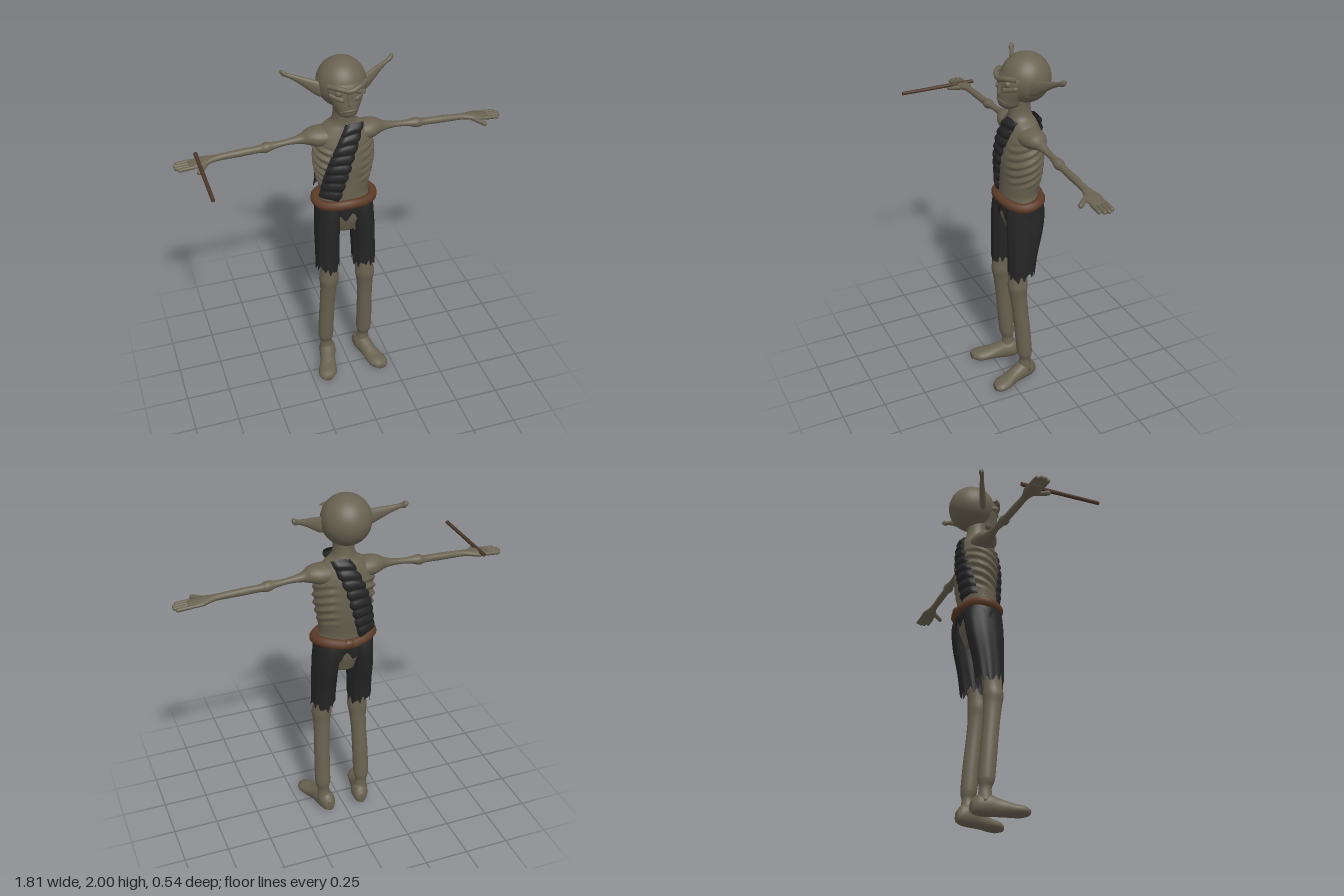
import * as THREE from 'three';

const mat = (name, color, side = THREE.FrontSide) => {
  const m = new THREE.MeshStandardMaterial({ color, side });
  m.name = name;
  return m;
};

export function createModel() {
  const skin = mat('olive skin', 0x696251);
  const cloth = mat('black cloth', 0x252525, THREE.DoubleSide);
  const rope = mat('brown rope', 0x5c3b27);
  const wood = mat('dark wood', 0x4b372a);
  const root = new THREE.Group();
  root.name = 'figure';

  const add = (name, geo, material) => {
    const m = new THREE.Mesh(geo, material);
    m.name = name;
    root.add(m);
    return m;
  };

  // Smooth skin through elliptical sections [x, y, z, r1, r2] lying across one axis.
  const frames = { x: ['y', 'z'], y: ['z', 'x'], z: ['x', 'y'] };
  function loft(axis, rows, { steps = 32, sides = 28, open = false, deform } = {}) {
    const k = 'xyz'.indexOf(axis);
    if (rows[rows.length - 1][k] < rows[0][k]) rows = [...rows].reverse();
    const curve = pts => new THREE.CatmullRomCurve3(pts, false, 'catmullrom', 0.5);
    const path = curve(rows.map(r => new THREE.Vector3(r[0], r[1], r[2])));
    const size = curve(rows.map(r => new THREE.Vector3(r[3], r[4], 0)));
    const [e1, e2] = frames[axis];
    const ts = [];
    for (let i = 0; i <= steps; i++) ts.push([i / steps, 1]);
    if (!open) { ts.unshift([0, 0]); ts.push([1, 0]); }
    const pos = [], index = [];
    ts.forEach(([t, scale], i) => {
      const c = path.getPoint(t), r = size.getPoint(t);
      for (let j = 0; j < sides; j++) {
        const a = j / sides * Math.PI * 2, p = c.clone();
        p[e1] += Math.cos(a) * r.x * scale;
        p[e2] += Math.sin(a) * r.y * scale;
        if (deform) deform(p, c, a, t);
        pos.push(p.x, p.y, p.z);
        if (i < ts.length - 1) {
          const n = (j + 1) % sides, A = i * sides + j, B = i * sides + n;
          index.push(A, B, A + sides, B, B + sides, A + sides);
        }
      }
    });
    const g = new THREE.BufferGeometry();
    g.setAttribute('position', new THREE.Float32BufferAttribute(pos, 3));
    g.setIndex(index);
    g.computeVertexNormals();
    return g;
  }

  // Rounded bar between two points.
  function bar(name, a, b, r, material = skin) {
    const A = new THREE.Vector3(...a), B = new THREE.Vector3(...b), d = B.clone().sub(A);
    const m = add(name, new THREE.CapsuleGeometry(r, d.length(), 6, 14), material);
    m.position.copy(A).add(B).multiplyScalar(0.5);
    m.quaternion.setFromUnitVectors(new THREE.Vector3(0, 1, 0), d.normalize());
  }
  const ball = (name, x, y, z, rx, ry = rx, rz = rx, material = skin) => {
    const m = add(name, new THREE.SphereGeometry(1, 32, 24), material);
    m.position.set(x, y, z);
    m.scale.set(rx, ry, rz);
  };
  const tube = (name, pts, r, material = skin, closed = false) => add(name, new THREE.TubeGeometry(
    new THREE.CatmullRomCurve3(pts.map(p => new THREE.Vector3(...p)), closed), closed ? 80 : 28, r, 10, closed), material);

  // Torso and neck, with rib ridges along the flanks
  add('torso', loft('y', [
    [0, 0.98, -0.095, 0.06, 0.07], [0, 1.08, -0.095, 0.095, 0.13], [0, 1.18, -0.098, 0.1, 0.14],
    [0, 1.23, -0.1, 0.102, 0.135], [0, 1.32, -0.105, 0.11, 0.15], [0, 1.42, -0.105, 0.116, 0.165],
    [0, 1.52, -0.108, 0.11, 0.162], [0, 1.58, -0.11, 0.095, 0.15], [0, 1.625, -0.11, 0.08, 0.115],
    [0, 1.66, -0.105, 0.066, 0.068], [0, 1.71, -0.1, 0.06, 0.055], [0, 1.78, -0.1, 0.06, 0.058],
  ], {
    steps: 130, sides: 48, deform: (p, c, a) => {
      const fade = THREE.MathUtils.smoothstep(p.y, 1.27, 1.32) * (1 - THREE.MathUtils.smoothstep(p.y, 1.51, 1.56));
      const flank = THREE.MathUtils.smoothstep(Math.abs(Math.sin(a)), 0.3, 0.65);
      const rib = 1 + 0.045 * fade * flank * Math.sin((p.y + 0.05 * Math.cos(a)) * Math.PI * 2 / 0.048);
      p.x *= rib;
      p.z = c.z + (p.z - c.z) * rib;
    },
  }), skin);

  // Head and face
  ball('skull', 0, 1.866, -0.136, 0.132, 0.134, 0.134);
  add('jaw', loft('y', [
    [0, 1.715, -0.045, 0.035, 0.03], [0, 1.735, -0.042, 0.056, 0.055], [0, 1.77, -0.045, 0.065, 0.068],
    [0, 1.82, -0.058, 0.074, 0.09], [0, 1.88, -0.08, 0.085, 0.108], [0, 1.93, -0.1, 0.075, 0.095],
  ]), skin);
  tube('brow', [[-0.1, 1.9, -0.035], [-0.055, 1.897, 0.008], [0, 1.882, 0.02], [0.055, 1.897, 0.008], [0.1, 1.9, -0.035]], 0.014);
  bar('nose', [0, 1.87, 0.005], [0, 1.805, 0.016], 0.013);
  tube('lips', [[-0.045, 1.757, -0.005], [-0.02, 1.767, 0.015], [0.02, 1.767, 0.015], [0.045, 1.757, -0.005]], 0.007);

  for (const s of [1, -1]) {
    const side = s > 0 ? 'left' : 'right';
    const mirror = rows => rows.map(r => [r[0] * s, ...r.slice(1)]);
    const P = (x, y, z) => [x * s, y, z];

    ball(side + 'Eye', 0.054 * s, 1.866, -0.006, 0.019);
    bar(side + 'Cheekbone', P(0.04, 1.83, 0.002), P(0.085, 1.845, -0.035), 0.015);
    add(side + 'Ear', loft('x', mirror([
      [0.08, 1.842, -0.1, 0.04, 0.022], [0.13, 1.85, -0.12, 0.043, 0.021], [0.18, 1.874, -0.143, 0.032, 0.018],
      [0.23, 1.898, -0.167, 0.019, 0.014], [0.27, 1.915, -0.185, 0.013, 0.012], [0.29, 1.924, -0.195, 0.018, 0.016],
      [0.304, 1.93, -0.2, 0.01, 0.01],
    ])), skin);

    // Shoulder, arm and palm
    add(side + 'Arm', loft('x', mirror([
      [0.05, 1.575, -0.11, 0.05, 0.07], [0.14, 1.575, -0.112, 0.053, 0.07], [0.19, 1.578, -0.113, 0.042, 0.053],
      [0.23, 1.572, -0.114, 0.026, 0.03], [0.3, 1.566, -0.115, 0.016, 0.018], [0.37, 1.56, -0.115, 0.018, 0.02],
      [0.42, 1.555, -0.115, 0.028, 0.029], [0.46, 1.552, -0.115, 0.02, 0.02], [0.56, 1.549, -0.114, 0.02, 0.02],
      [0.67, 1.545, -0.113, 0.017, 0.019], [0.72, 1.541, -0.113, 0.017, 0.03], [0.76, 1.536, -0.112, 0.018, 0.044],
      [0.8, 1.532, -0.112, 0.015, 0.042], [0.83, 1.53, -0.112, 0.011, 0.038],
    ]), { steps: 70 }), skin);
    for (let i = 0; i < 4; i++) {
      const z = -0.144 + i * 0.022, tip = [0.885, 0.897, 0.895, 0.88][i];
      bar(side + 'Finger', P(0.81, 1.532, z), P(tip, 1.527, z), 0.0105);
    }
    bar(side + 'Thumb', P(0.74, 1.536, -0.09), P(0.788, 1.525, -0.032), 0.013);

    // Leg and foot
    add(side + 'Leg', loft('y', mirror([
      [0.113, 0.07, -0.095, 0.045, 0.045], [0.118, 0.14, -0.094, 0.033, 0.033], [0.12, 0.175, -0.09, 0.041, 0.041],
      [0.12, 0.21, -0.087, 0.045, 0.045], [0.118, 0.35, -0.075, 0.046, 0.045], [0.114, 0.5, -0.06, 0.046, 0.044],
      [0.11, 0.6, -0.05, 0.05, 0.048], [0.108, 0.66, -0.046, 0.056, 0.056], [0.104, 0.73, -0.05, 0.054, 0.05],
      [0.1, 0.9, -0.065, 0.06, 0.055], [0.075, 1.1, -0.09, 0.08, 0.06],
    ]), { steps: 60 }), skin);
    add(side + 'Foot', loft('z', mirror([
      [0.1, 0.045, -0.163, 0.025, 0.03], [0.104, 0.057, -0.135, 0.043, 0.053], [0.112, 0.06, -0.085, 0.05, 0.06],
      [0.13, 0.047, -0.02, 0.046, 0.046], [0.15, 0.035, 0.04, 0.054, 0.035], [0.161, 0.031, 0.09, 0.053, 0.03],
      [0.168, 0.029, 0.125, 0.028, 0.018],
    ])), skin);

    // Trouser leg with folds and a torn hem
    add(side + 'TrouserLeg', loft('y', mirror([
      [0.108, 0.74, -0.067, 0.077, 0.066], [0.106, 0.86, -0.076, 0.087, 0.067], [0.102, 1, -0.09, 0.105, 0.069],
      [0.09, 1.11, -0.098, 0.111, 0.075], [0.088, 1.18, -0.098, 0.1, 0.075],
    ]), {
      steps: 40, sides: 64, open: true, deform: (p, c, a, t) => {
        const fold = 1 + 0.03 * Math.sin(9 * a + s) * (1 - t);
        p.x = c.x + (p.x - c.x) * fold;
        p.z = c.z + (p.z - c.z) * fold;
        const tear = 0.5 * Math.sin(11 * a + s) + 0.35 * Math.sin(17 * a) + 0.5 * Math.sin(3 * a + 2 * s);
        p.y += 0.028 * tear * Math.max(0, 1 - t * 4);
      },
    }), cloth);
  }

  // Seat of the trousers, torn open between the legs
  add('trouserSeat', loft('y', [
    [0, 1.07, -0.098, 0.108, 0.163], [0, 1.13, -0.098, 0.115, 0.167], [0, 1.19, -0.098, 0.11, 0.162],
  ], {
    steps: 14, sides: 64, open: true, deform: (p, c, a, t) => {
      p.y += (0.025 * Math.sin(13 * a) + 0.03 * Math.abs(Math.cos(a)) ** 8) * (1 - t);
    },
  }), cloth);

  // Rope belt with a knot behind
  const loop = Array.from({ length: 24 }, (_, i) => {
    const a = i / 24 * Math.PI * 2;
    return [Math.sin(a) * 0.16, 1.182 + 0.006 * Math.cos(3 * a), -0.098 + Math.cos(a) * 0.11];
  });
  tube('belt', loop, 0.027, rope, true);
  ball('beltKnot', 0.01, 1.182, -0.216, 0.035, 0.026, 0.022, rope);

  // Ruffled sash: one strip down the chest and one down the back
  const depth = [[1.2, 0.115], [1.4, 0.127], [1.55, 0.117], [1.64, 0.095], [1.68, 0.07]];
  const depthAt = y => {
    let i = 0;
    while (i < depth.length - 2 && y > depth[i + 1][0]) i++;
    return THREE.MathUtils.mapLinear(y, depth[i][0], depth[i + 1][0], depth[i][1], depth[i + 1][1]);
  };
  for (const f of [1, -1]) {
    const g = new THREE.PlaneGeometry(1, 1, 14, 90), p = g.attributes.position;
    for (let i = 0; i < p.count; i++) {
      const u = p.getX(i), t = 0.5 - p.getY(i);
      const ruffle = Math.abs(Math.sin(t * Math.PI * 8 + u));
      const y = 1.67 - 0.445 * t - 0.04 * u * u - 0.03 * u * t;
      const x = 0.042 - 0.145 * t - 0.035 * Math.sin(t * Math.PI) * 0.5
        + u * (0.1 + 0.02 * Math.sin(t * Math.PI) + 0.01 * ruffle);
      const out = depthAt(y) * Math.sqrt(1 - Math.min(0.95, (x / 0.19) ** 2));
      p.setXYZ(i, x, y, -0.105 + f * (out + 0.009 * ruffle - 0.02 * (2 * u) ** 6));
    }
    g.computeVertexNormals();
    add(f > 0 ? 'sashFront' : 'sashBack', g, cloth);
  }

  // Thin stick held in the right hand
  const stick = add('stick', new THREE.CylinderGeometry(0.01, 0.011, 0.445, 12), wood);
  stick.rotation.x = Math.PI / 2;
  stick.position.set(-0.778, 1.547, 0.043);

  return root;
}
